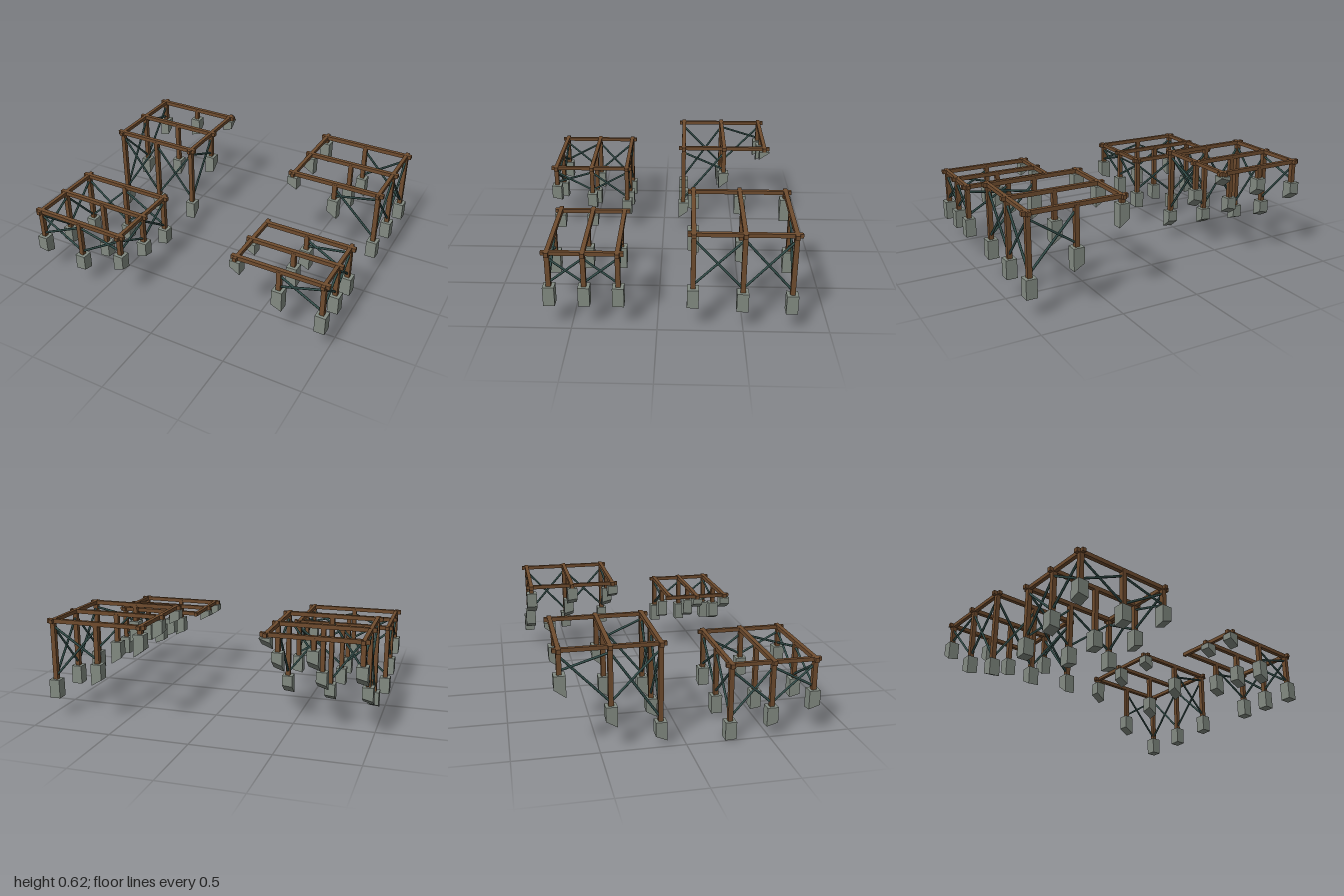
import * as THREE from 'three';

const timber = new THREE.MeshStandardMaterial({ color: 0x6f4c2e });
timber.name = 'brown timber';
const concrete = new THREE.MeshStandardMaterial({ color: 0x838b82 });
concrete.name = 'grey concrete';
const steel = new THREE.MeshStandardMaterial({ color: 0x324d49 });
steel.name = 'dark teal steel';

const BEAM = 0.026, POST = 0.029, FOOT = 0.068;

// xs, zs: pile grid lines; y: beam centre height; foot: footing height;
// lowEnd: how much slope remains where the ground levels out at its lowest edge;
// ground[zRow][xColumn]: height of each footing's base (null = no pile)
const platforms = [
  { name: 'backLeftPlatform', y: 0.616, foot: 0.097, lowEnd: 1, xs: [-0.941, -0.659, -0.378], zs: [-0.71, -0.427, -0.141],
    ground: [[0.38, 0.45, 0.56], [0.17, 0.24, 0.34], [0.05, 0.075, 0.105]] },
  { name: 'backRightPlatform', y: 0.616, foot: 0.117, lowEnd: 0, xs: [0.379, 0.67, 0.962], zs: [-0.774, -0.491, -0.205],
    ground: [[0.46, 0.25, 0.125], [0.5, 0.32, 0.135], [0.53, 0.39, 0.155]] },
  { name: 'frontLeftPlatform', y: 0.463, foot: 0.108, lowEnd: 0.2, xs: [-0.963, -0.66, -0.354], zs: [0.267, 0.518, 0.772],
    ground: [[0.01, 0.05, 0.115], [0.08, 0.06, 0.165], [0.165, 0.12, 0.225]] },
  { name: 'frontRightPlatform', y: 0.479, foot: 0.12, lowEnd: 0, xs: [0.39, 0.67, 0.951], zs: [0.224, 0.422, 0.625],
    ground: [[null, 0.26, 0.148], [0.41, 0.26, 0.148], [0.4, 0.225, 0.148]] },
];

function add(group, name, geometry, material, x = 0, y = 0, z = 0) {
  const mesh = new THREE.Mesh(geometry, material);
  mesh.name = name;
  mesh.position.set(x, y, z);
  group.add(mesh);
  return mesh;
}

// thin rod between two points
function addRod(group, name, a, b, radius, material) {
  const dir = b.clone().sub(a);
  const mid = a.clone().add(b).multiplyScalar(0.5);
  const rod = add(group, name, new THREE.CylinderGeometry(radius, radius, dir.length(), 6), material, mid.x, mid.y, mid.z);
  rod.quaternion.setFromUnitVectors(new THREE.Vector3(0, 1, 0), dir.normalize());
}

// block with a level top and a base that follows the slope
function footingGeometry(base, top, slopeX, slopeZ) {
  const geometry = new THREE.BoxGeometry(FOOT, 1, FOOT);
  const p = geometry.attributes.position;
  for (let i = 0; i < p.count; i++) {
    const low = base + slopeX * p.getX(i) + slopeZ * p.getZ(i);
    p.setY(i, p.getY(i) > 0 ? top : THREE.MathUtils.clamp(low, 0, top - 0.004));
  }
  geometry.computeVertexNormals();
  return geometry;
}

// gradient at index i along a line of three heights
function slope(heights, positions, i, lowEnd) {
  let a = Math.max(0, i - 1), b = Math.min(2, i + 1);
  if (heights[a] === null) a = i;
  if (heights[b] === null) b = i;
  if (a === b) return 0;
  const s = (heights[b] - heights[a]) / (positions[b] - positions[a]);
  const atLowEnd = i !== 1 && heights[i] <= heights[1];
  return THREE.MathUtils.clamp(s, -0.8, 0.8) * (atLowEnd ? lowEnd : 1);
}

function createPlatform({ name, y, foot, lowEnd, xs, zs, ground }) {
  const group = new THREE.Group();
  group.name = name;
  const over = 0.035;
  const under = y - BEAM / 2;

  // deck beams: three across, two along the sides
  const width = xs[2] - xs[0] + over * 2, depth = zs[2] - zs[0] + over * 2;
  zs.forEach((z, j) => {
    const cut = ground[j][0] === null ? over : 0;
    add(group, 'crossBeam', new THREE.BoxGeometry(width - cut, BEAM, BEAM), timber, (xs[0] + xs[2] + cut) / 2, y, z);
  });
  for (const x of [xs[0], xs[2]]) {
    add(group, 'sideBeam', new THREE.BoxGeometry(BEAM * 0.9, BEAM * 0.92, depth), timber, x, y, (zs[0] + zs[2]) / 2);
  }

  // posts and footings
  const tops = ground.map((row, j) => row.map((g, i) => {
    if (g === null) return null;
    const top = Math.min(g + foot, under - 0.002);
    const sx = slope(row, xs, i, lowEnd);
    const sz = slope(ground.map((r) => r[i]), zs, j, lowEnd);
    add(group, 'footing', footingGeometry(g, top, sx, sz), concrete, xs[i], 0, zs[j]);
    const length = y - top;
    add(group, 'post', new THREE.BoxGeometry(POST, length, POST), timber, xs[i], top + length / 2, zs[j]);
    return top;
  }));

  // crossed braces in every outer bay with enough free post
  const brace = (i0, j0, i1, j1) => {
    const t0 = tops[j0][i0], t1 = tops[j1][i1];
    if (t0 === null || t1 === null) return;
    if (Math.min(under - t0, under - t1) < 0.06) return;
    const at = (i, j, h) => new THREE.Vector3(xs[i], h, zs[j]);
    addRod(group, 'brace', at(i0, j0, under - 0.02), at(i1, j1, t1 + 0.02), 0.0075, steel);
    addRod(group, 'brace', at(i0, j0, t0 + 0.02), at(i1, j1, under - 0.02), 0.0075, steel);
  };
  for (const edge of [0, 2]) {
    for (const k of [0, 1]) {
      brace(k, edge, k + 1, edge);
      brace(edge, k, edge, k + 1);
    }
  }
  return group;
}

export function createModel() {
  const model = new THREE.Group();
  model.name = 'stiltPlatforms';
  platforms.forEach((p) => model.add(createPlatform(p)));
  return model;
}
